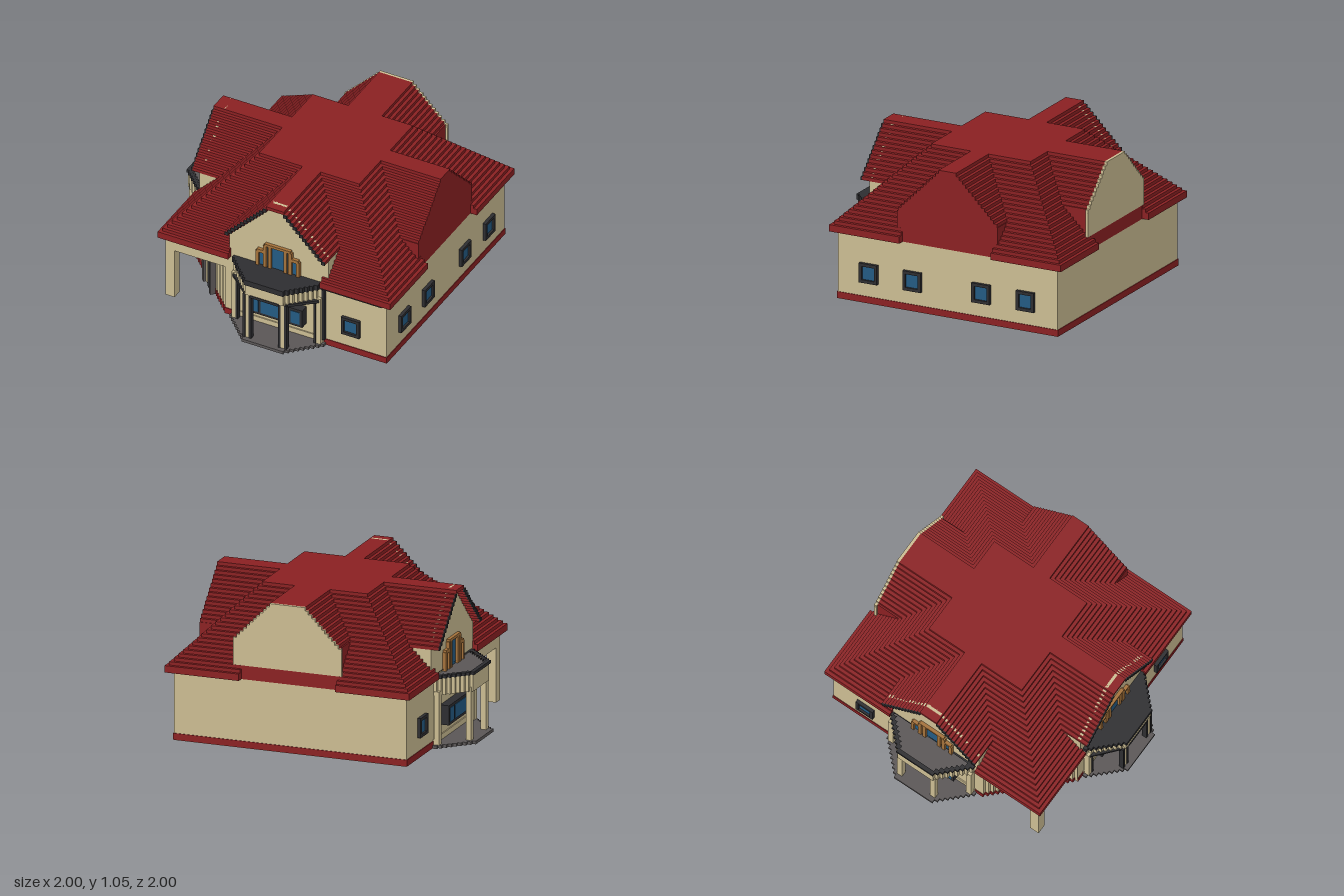
import * as THREE from 'three';
import { mergeGeometries } from 'three/addons/utils/BufferGeometryUtils.js';

const V = 0.0244;      // height and depth of one roof course
const EAVE = 0.49;
const COURSES = 23;
const CX = 0.118;      // middle of the front gable

const material = (name, color) => {
  const m = new THREE.MeshStandardMaterial({ color });
  m.name = name;
  return m;
};

export function createModel() {
  const mats = {
    wall: material('cream wall', 0xcbbc92),
    red: material('roof red', 0x8a2022),
    dark: material('charcoal trim', 0x2d2d30),
    grey: material('porch grey', 0x5a5656),
    glass: material('blue glass', 0x235a82),
    wood: material('brown wood', 0xa3713a),
  };
  const house = new THREE.Group();
  house.name = 'house';

  // Parts are described for the front and carried over to the other sides
  const toSide = {
    front: (x, z) => [x, z],
    left: (x, z) => [-z, -x],
    right: (x, z) => [z + 0.2, x - 0.21],
    back: (x, z) => [x, -0.2 - z],
  };
  const boxGeo = (x0, x1, y0, y1, z0, z1, side = 'front') => {
    const [ax, az] = toSide[side](x0, z0), [bx, bz] = toSide[side](x1, z1);
    const g = new THREE.BoxGeometry(Math.abs(bx - ax), y1 - y0, Math.abs(bz - az));
    return g.translate((ax + bx) / 2, (y0 + y1) / 2, (az + bz) / 2);
  };
  const add = (name, mat, geos) => {
    const list = [].concat(geos);
    const mesh = new THREE.Mesh(list.length > 1 ? mergeGeometries(list) : list[0], mats[mat]);
    mesh.name = name;
    house.add(mesh);
    return mesh;
  };

  // Stepped line from a to b, without the start point
  const stairs = ([ax, az], [bx, bz], xFirst) => {
    const n = Math.max(1, Math.round(Math.abs(bx - ax) / V)), pts = [];
    for (let i = 0; i < n; i++) {
      const x0 = ax + (bx - ax) * i / n, x1 = ax + (bx - ax) * (i + 1) / n;
      const z0 = az + (bz - az) * i / n, z1 = az + (bz - az) * (i + 1) / n;
      pts.push(xFirst ? [x1, z0] : [x0, z1], [x1, z1]);
    }
    return pts;
  };
  // Upright prism over a ground outline
  const prism = (pts, y0, y1, side = 'front', hole) => {
    const vec = list => list.map(p => new THREE.Vector2(...toSide[side](...p)));
    const shape = new THREE.Shape(vec(pts));
    if (hole) shape.holes.push(new THREE.Path(vec(hole)));
    return new THREE.ExtrudeGeometry(shape, { depth: y1 - y0, bevelEnabled: false })
      .rotateX(Math.PI / 2).translate(0, y1, 0);
  };

  // Walls with the cut entrance corner, and red plinth
  const outline = e => [[0.95 + e, -0.95 - e], [0.95 + e, 0.76 + e], [-0.3, 0.76 + e],
    ...stairs([-0.3, 0.76 + e], [-0.76 - e, 0.3], false), [-0.76 - e, -0.95 - e]];
  add('walls', 'wall', prism(outline(0), 0, EAVE));
  add('plinth', 'red', prism(outline(0.005), 0.003, 0.05));

  // Entrance corner: post, beams and diagonal door
  add('cornerPost', 'wall', boxGeo(-0.76, -0.69, 0, EAVE, 0.69, 0.76));
  add('cornerBeams', 'wall', ['front', 'left'].map(s => boxGeo(-0.76, -0.3, 0.39, EAVE, 0.72, 0.76, s)));
  const door = new THREE.Group();
  door.name = 'entranceDoor';
  const doorPart = (name, mat, x0, x1, y0, y1, z1) => {
    const m = new THREE.Mesh(boxGeo(x0, x1, y0, y1, -0.04, z1), mats[mat]);
    m.name = name;
    door.add(m);
  };
  doorPart('doorLeaf', 'wall', -0.07, 0.07, 0, 0.27, 0.015);
  doorPart('doorGap', 'dark', -0.018, 0.018, 0, 0.265, 0.022);
  for (const s of [-1, 1]) doorPart('doorJamb', 'grey', s * 0.08 - 0.014, s * 0.08 + 0.014, 0, 0.29, 0.035);
  doorPart('doorLintel', 'grey', -0.09, 0.09, 0.265, 0.29, 0.034);
  door.position.set(-0.53, 0, 0.53);
  door.rotation.y = -Math.PI / 4;
  house.add(door);

  // Square windows
  const squareWindow = (x, side, z) => {
    add('windowFrame', 'dark', [
      boxGeo(x - 0.07, x + 0.07, 0.15, 0.172, z - 0.01, z + 0.024, side),
      boxGeo(x - 0.07, x + 0.07, 0.268, 0.29, z - 0.01, z + 0.024, side),
      boxGeo(x - 0.07, x - 0.048, 0.172, 0.268, z - 0.01, z + 0.024, side),
      boxGeo(x + 0.048, x + 0.07, 0.172, 0.268, z - 0.01, z + 0.024, side)]);
    add('windowPane', 'glass', boxGeo(x - 0.05, x + 0.05, 0.17, 0.27, z, z + 0.009, side));
  };
  for (const z of [0.515, 0.175, -0.36, -0.705]) squareWindow(z + 0.21, 'right', 0.75);
  squareWindow(0.68, 'front', 0.76);
  squareWindow(0.68, 'left', 0.76);

  // Hipped roof in courses, notched at the four gables
  const hip = [];
  for (let i = 0; i < COURSES; i++) {
    const y0 = EAVE + i * V, y1 = y0 + V, h = 0.9 - Math.max(0, i - 1) * V, c = Math.min(h, 0.85);
    hip.push(boxGeo(0.1 - c, 0.1 + c, y0, y1, -0.1 - c, -0.1 + c));
    if (h > c) for (const sx of [-1, 1]) for (const sz of [-1, 1]) {
      const span = (m, s, a, b) => s > 0 ? [m + a, m + b] : [m - b, m - a];
      hip.push(boxGeo(...span(0.1, sx, 0.355, h), y0, y1, ...span(-0.1, sz, c, h)));
      hip.push(boxGeo(...span(0.1, sx, c, h), y0, y1, ...span(-0.1, sz, 0.355, c)));
    }
  }
  add('hipRoof', 'red', hip);

  // Gables; the front and left ones overhang a cream wall
  const ridgeY = EAVE + COURSES * V;
  const gableCourses = (flat, widest, z0, z1, side, from = 0) => {
    const list = [];
    for (let i = from; i < COURSES; i++) {
      const g = Math.min(widest, flat + (COURSES - 1 - i) * V);
      list.push(boxGeo(CX - g, CX + g, EAVE + i * V, EAVE + (i + 1) * V, z0, z1, side));
    }
    return list;
  };
  add('rightGable', 'red', gableCourses(0.068, 0.39, 0.1, 0.75, 'right'));
  add('backGableRoof', 'red', gableCourses(0.13, 0.385, 0.1, 0.73, 'back'));
  add('backGableWall', 'wall', gableCourses(0.13, 0.4, 0.73, 0.75, 'back'));

  const gableFront = side => {
    add('gableRoof', 'red', gableCourses(0.07, 0.39, 0.1, 0.74, side, 9));
    add('gableWall', 'wall', [boxGeo(CX - 0.383, CX + 0.383, EAVE, 0.71, 0.3, 0.76, side),
      ...gableCourses(0.06, 0.38, 0.735, 0.76, side, 9)]);
    const overhang = [boxGeo(CX - 0.07, CX + 0.07, ridgeY - V, ridgeY, 0.7, 0.82, side)], fascia = [];
    for (let i = 9; i < COURSES - 1; i++) {
      const g = 0.07 + (COURSES - 1 - i) * V, y = EAVE + i * V;
      for (const s of [-1, 1]) {
        const a = CX + s * (g - 0.028), b = CX + s * g;
        overhang.push(boxGeo(a, b, y, y + V, 0.7, 0.815, side));
        fascia.push(boxGeo(a, b, y, y + V, 0.815, 0.825, side));
      }
    }
    add('gableOverhang', 'red', overhang);
    add('gableFascia', 'dark', fascia);

    // Balcony door with stepped head
    add('balconyGlass', 'glass', [boxGeo(CX - 0.15, CX + 0.15, EAVE, 0.625, 0.755, 0.768, side),
      boxGeo(CX - 0.09, CX + 0.09, EAVE, 0.69, 0.755, 0.768, side)]);
    const frame = [boxGeo(CX - 0.1, CX + 0.1, 0.685, 0.705, 0.755, 0.785, side)];
    for (const s of [-1, 1]) {
      for (const [d, w, top] of [[0.06, 0.012, 0.69], [0.098, 0.013, 0.69], [0.158, 0.012, 0.63]])
        frame.push(boxGeo(CX + s * d - w, CX + s * d + w, EAVE, top, 0.755, 0.785, side));
      frame.push(boxGeo(CX + s * 0.1, CX + s * 0.16, 0.62, 0.645, 0.755, 0.785, side));
    }
    add('balconyDoorFrame', 'wood', frame);
  };

  // Porch with chamfered plan, columns and balcony on top
  const porchPlan = (e, zBack = 0.76) => {
    const w = 0.365 - e, f = 0.135 - e * 0.45, zf = 1 - e, z1 = zf - (w - f);
    const right = [[CX + w, zBack], [CX + w, z1], ...stairs([CX + w, z1], [CX + f, zf], false)];
    const left = right.map(([x, z]) => [2 * CX - x, z]).reverse();
    return [...right, ...left];
  };
  const porch = side => {
    const trimmed = side === 'front';
    const beamTop = trimmed ? 0.47 : 0.49;
    add('porchFloor', 'grey', prism(porchPlan(0), 0, 0.022, side));
    add('porchBackWall', 'wall', boxGeo(CX - 0.35, CX + 0.35, 0.022, 0.06, 0.75, 0.768, side));
    add('porchBeam', 'wall', prism(porchPlan(0.025), trimmed ? 0.385 : 0.37, beamTop, side, porchPlan(0.07, 0.765)));
    add('balconyFloor', 'grey', prism(porchPlan(0.03), beamTop - 0.015, beamTop + 0.008, side));
    add('balconyRail', 'dark', prism(porchPlan(0.015), beamTop, 0.512, side, porchPlan(0.045, 0.765)));

    const columns = [], trim = [];
    for (const s of [-1, 1]) for (const [d, z] of [[0.137, 0.945], [0.325, 0.785]]) {
      const x = CX + s * d;
      columns.push(boxGeo(x - 0.02, x + 0.02, 0.02, 0.4, z - 0.02, z + 0.02, side));
      if (trimmed) for (const t of d < 0.2 ? [-1, 1] : [-s])
        trim.push(boxGeo(x + t * 0.014, x + t * 0.032, 0.02, 0.385, z - 0.012, z + 0.024, side));
    }
    add('porchColumns', 'wall', columns);
    if (trimmed) {
      trim.push(boxGeo(CX - 0.11, CX + 0.11, 0.37, 0.39, 0.935, 0.979, side));
      for (const s of [-1, 1]) {
        const bar = new THREE.BoxGeometry(0.24, 0.02, 0.03).rotateY(s * Math.PI / 4.4);
        trim.push(bar.translate(CX + s * 0.235, 0.38, 0.875));
      }
      add('porchTrim', 'dark', trim);
    }

    // Bay window behind the columns
    add('bayWindowFrame', 'dark', boxGeo(CX - 0.215, CX + 0.215, 0.13, 0.27, 0.755, 0.825, side));
    add('bayWindowPanes', 'glass', [[-0.195, -0.125], [-0.105, 0.105], [0.125, 0.195]].map(
      ([a, b]) => boxGeo(CX + a, CX + b, 0.15, 0.25, 0.82, 0.829, side)));
  };
  for (const side of ['front', 'left']) {
    gableFront(side);
    porch(side);
  }

  // Gutter and downpipe
  add('gutter', 'dark', boxGeo(0.48, 0.92, 0.467, EAVE, 0.76, 0.78));
  add('downpipe', 'dark', boxGeo(0.462, 0.482, 0.05, 0.467, 0.76, 0.785));

  return house;
}
